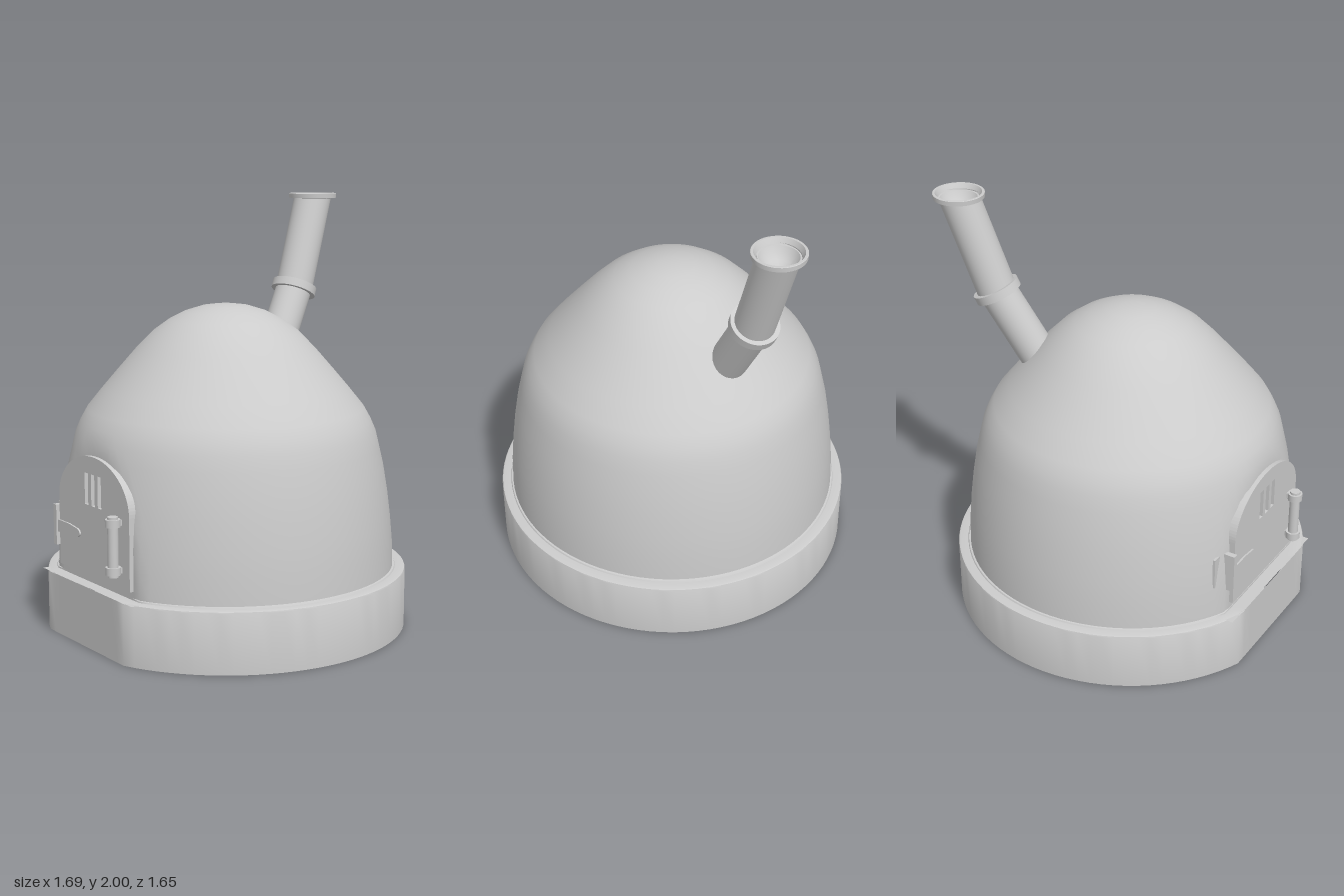
import * as THREE from 'three';
import { mergeVertices, toCreasedNormals } from 'three/addons/utils/BufferGeometryUtils.js';

const material = new THREE.MeshStandardMaterial({ color: 0xcccccc, side: THREE.DoubleSide });
const V = (x, y, z) => new THREE.Vector3(x, y, z);

function add(parent, name, geometry, x = 0, y = 0, z = 0) {
  const mesh = new THREE.Mesh(geometry, material);
  mesh.name = name;
  mesh.position.set(x, y, z);
  parent.add(mesh);
  return mesh;
}

// Round body whose front is cut flat at z = front
function flatFrontLathe(profile, centreZ, front, crease) {
  let geo = new THREE.LatheGeometry(profile.map(([r, y]) => new THREE.Vector2(r, y)), 96);
  geo.translate(0, 0, centreZ);
  const p = geo.attributes.position;
  for (let i = 0; i < p.count; i++) p.setZ(i, Math.min(p.getZ(i), front));
  geo.deleteAttribute('uv');
  geo.deleteAttribute('normal');
  geo = mergeVertices(geo, 1e-4);
  geo.computeVertexNormals();
  return crease ? toCreasedNormals(geo, crease) : geo;
}

// Open cylinder from a to b; with levelTop its upper end is cut horizontally
function pipe(a, b, radius, { levelTop = false, open = true } = {}) {
  const dir = b.clone().sub(a);
  const length = dir.length();
  dir.normalize();
  const geo = new THREE.CylinderGeometry(radius, radius, length, 40, 1, open);
  const p = geo.attributes.position;
  const top = [];
  for (let i = 0; i < p.count; i++) top.push(p.getY(i) > 0);
  geo.applyQuaternion(new THREE.Quaternion().setFromUnitVectors(V(0, 1, 0), dir));
  const mid = a.clone().add(b).multiplyScalar(0.5);
  geo.translate(mid.x, mid.y, mid.z);
  if (levelTop) {
    for (let i = 0; i < p.count; i++) {
      if (!top[i]) continue;
      const v = V(0, 0, 0).fromBufferAttribute(p, i);
      v.addScaledVector(dir, (b.y - v.y) / dir.y);
      p.setXYZ(i, v.x, v.y, v.z);
    }
  }
  return geo;
}

// Door outline with a flat sill and an arched top
function doorShape() {
  const s = new THREE.Shape();
  s.moveTo(-0.305, 0.315);
  s.lineTo(0.302, 0.315);
  s.lineTo(0.302, 0.645);
  s.absellipse(-0.0015, 0.645, 0.3035, 0.22, 0, Math.PI, false);
  s.closePath();
  return s;
}

function extrude(shape, depth) {
  return new THREE.ExtrudeGeometry(shape, { depth, bevelEnabled: false, curveSegments: 24 });
}

function createDoor() {
  const door = new THREE.Group();
  door.name = 'door';

  // Front plate with three vent slots, over a solid back plate
  const front = doorShape();
  for (const x of [-0.056, 0, 0.056]) {
    const slot = new THREE.Path();
    slot.moveTo(x - 0.016, 0.64);
    slot.lineTo(x - 0.016, 0.785);
    slot.lineTo(x + 0.016, 0.785);
    slot.lineTo(x + 0.016, 0.64);
    slot.closePath();
    front.holes.push(slot);
  }
  add(door, 'doorFrontPlate', extrude(front, 0.017), 0, 0, 0.74);
  add(door, 'doorBackPlate', extrude(doorShape(), 0.025), 0, 0, 0.715);

  // Upright handle bar on two collars with standoffs
  const handle = new THREE.Group();
  handle.name = 'handle';
  handle.position.set(0.225, 0.508, 0.793);
  door.add(handle);
  add(handle, 'handleBar', new THREE.CylinderGeometry(0.024, 0.024, 0.27, 24));
  for (const side of [-1, 1]) {
    add(handle, 'handleCollar', new THREE.CylinderGeometry(0.034, 0.034, 0.034, 24), 0, side * 0.107, 0);
    add(handle, 'handleStandoff', new THREE.BoxGeometry(0.035, 0.026, 0.045), 0, side * 0.107, -0.024);
  }

  // Tapered latch tongue with its catch beside the door
  const tongue = new THREE.Shape();
  tongue.moveTo(-0.31, 0.465);
  tongue.lineTo(-0.15, 0.473);
  tongue.absellipse(-0.145, 0.494, 0.032, 0.021, -Math.PI / 2, Math.PI / 2, false);
  tongue.lineTo(-0.21, 0.523);
  tongue.lineTo(-0.31, 0.523);
  tongue.closePath();
  add(door, 'latchTongue', extrude(tongue, 0.013), 0, 0, 0.752);
  add(door, 'latchCatch', new THREE.BoxGeometry(0.026, 0.19, 0.055), -0.323, 0.498, 0.745);
  add(door, 'latchMount', new THREE.BoxGeometry(0.09, 0.15, 0.012), -0.355, 0.515, 0.704);
  return door;
}

function createChimney() {
  const chimney = new THREE.Group();
  chimney.name = 'chimney';
  const foot = V(-0.165, 1.2, -0.365);
  const bend = V(-0.233, 1.535, -0.555);
  const top = V(-0.282, 1.98, -0.708);

  add(chimney, 'lowerPipe', pipe(foot, bend, 0.088));
  add(chimney, 'upperPipe', pipe(bend, top, 0.091, { levelTop: true }));

  // Collar set halfway between the two pipe directions
  const axis = bend.clone().sub(foot).normalize().add(top.clone().sub(bend).normalize()).normalize();
  add(chimney, 'collar', pipe(
    bend.clone().addScaledVector(axis, -0.02),
    bend.clone().addScaledVector(axis, 0.02), 0.11, { open: false }));

  // Level rim with a bowl-shaped mouth
  const rim = [[0.085, 1.975], [0.117, 1.977], [0.118, 1.998], [0.116, 2.0], [0.106, 2.0],
    [0.092, 1.975], [0.078, 1.945], [0.055, 1.922], [0.028, 1.91], [0, 1.906]];
  const geo = new THREE.LatheGeometry(rim.map(([r, y]) => new THREE.Vector2(r, y)), 40);
  add(chimney, 'rim', toCreasedNormals(geo, 0.6), top.x, 0, top.z);
  return chimney;
}

export function createModel() {
  const model = new THREE.Group();
  model.name = 'oven';

  // Plinth: thin outer wall with a narrow ledge turning in to the dome
  add(model, 'plinth', flatFrontLathe(
    [[0.846, 0], [0.846, 0.27], [0.843, 0.277], [0.836, 0.28], [0.785, 0.28]], 0.025, 0.807, 0.6));
  // The ledge follows the dome's flat front
  add(model, 'plinthLip', flatFrontLathe(
    [[0.802, 0.279], [0.798, 0.286], [0.788, 0.288]], 0.028, 0.745, 0.6));
  // Fills the ledge between plinth and dome along the front
  const strip = new THREE.PlaneGeometry(0.78, 0.07);
  strip.rotateX(-Math.PI / 2);
  add(model, 'frontLedge', strip, 0, 0.2795, 0.768);

  // Dome
  add(model, 'dome', flatFrontLathe([
    [0.791, 0.28], [0.787, 0.4], [0.776, 0.52], [0.761, 0.64], [0.741, 0.76], [0.72, 0.85],
    [0.703, 0.92], [0.679, 0.975], [0.648, 1.03], [0.575, 1.12], [0.5, 1.208], [0.42, 1.3],
    [0.34, 1.382], [0.265, 1.436], [0.19, 1.474], [0.11, 1.499], [0.05, 1.507], [0, 1.508],
  ], 0.03, 0.738));

  model.add(createDoor(), createChimney());
  return model;
}
